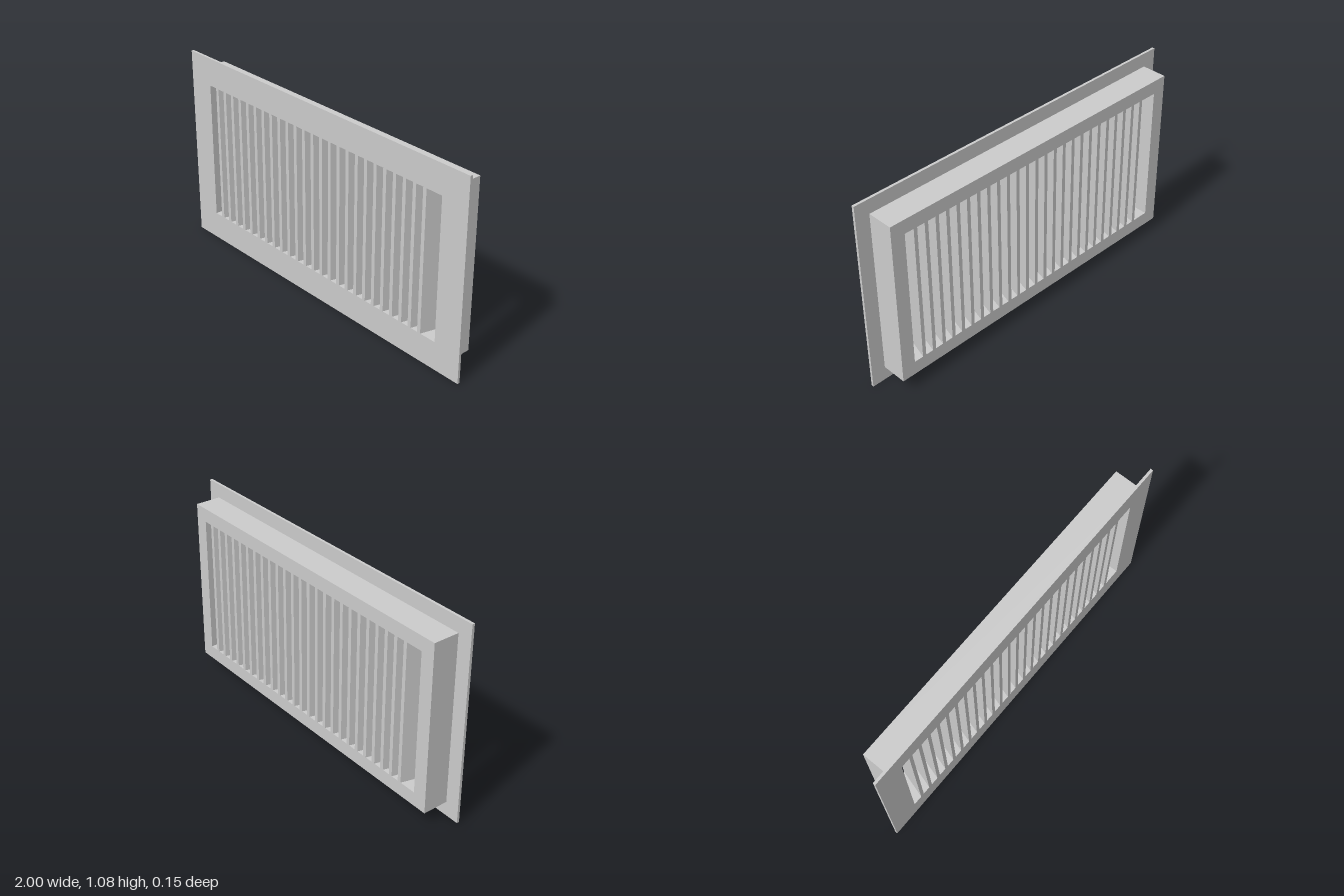
import * as THREE from 'three';

const HEIGHT = 1.077, FRONT = 0.077, BACK = -0.077;
const OPEN_X = 0.845, OPEN_LOW = 0.154, OPEN_HIGH = HEIGHT - OPEN_LOW;

const material = new THREE.MeshStandardMaterial({ color: 0xcccccc });

// Traces a rectangle on a shape or path
function rect(path, halfWidth, low, high) {
  path.moveTo(-halfWidth, low);
  path.lineTo(halfWidth, low);
  path.lineTo(halfWidth, high);
  path.lineTo(-halfWidth, high);
  path.closePath();
  return path;
}

// Rectangular ring around the grille opening, from zBack to zFront
function ring(name, halfWidth, low, high, zBack, zFront) {
  const shape = rect(new THREE.Shape(), halfWidth, low, high);
  shape.holes.push(rect(new THREE.Path(), OPEN_X, OPEN_LOW, OPEN_HIGH));
  const geometry = new THREE.ExtrudeGeometry(shape, { depth: zFront - zBack, bevelEnabled: false });
  geometry.translate(0, 0, zBack);
  const mesh = new THREE.Mesh(geometry, material);
  mesh.name = name;
  return mesh;
}

export function createModel() {
  const model = new THREE.Group();
  model.name = 'ventGrille';

  // Thin front flange and the deeper collar behind it
  model.add(ring('frontFlange', 1, 0, HEIGHT, 0.063, FRONT));
  model.add(ring('rearCollar', 0.922, 0.078, HEIGHT - 0.078, BACK, 0.063));

  // Slanted upright slats: a parallelogram section leaning to +x at the back
  const count = 25, pitch = 0.0635, thickness = 0.0205, lean = pitch - thickness;
  const section = new THREE.Shape([
    new THREE.Vector2(0, -FRONT),
    new THREE.Vector2(thickness, -FRONT),
    new THREE.Vector2(thickness + lean, -BACK),
    new THREE.Vector2(lean, -BACK),
  ]);
  const slatGeometry = new THREE.ExtrudeGeometry(section, { depth: OPEN_HIGH - OPEN_LOW, bevelEnabled: false });
  slatGeometry.rotateX(-Math.PI / 2);

  const slats = new THREE.Group();
  slats.name = 'slats';
  for (let i = 0; i < count; i++) {
    const slat = new THREE.Mesh(slatGeometry, material);
    slat.name = `slat${i + 1}`;
    slat.position.set((i - count / 2) * pitch, OPEN_LOW, 0);
    slats.add(slat);
  }
  model.add(slats);
  return model;
}
